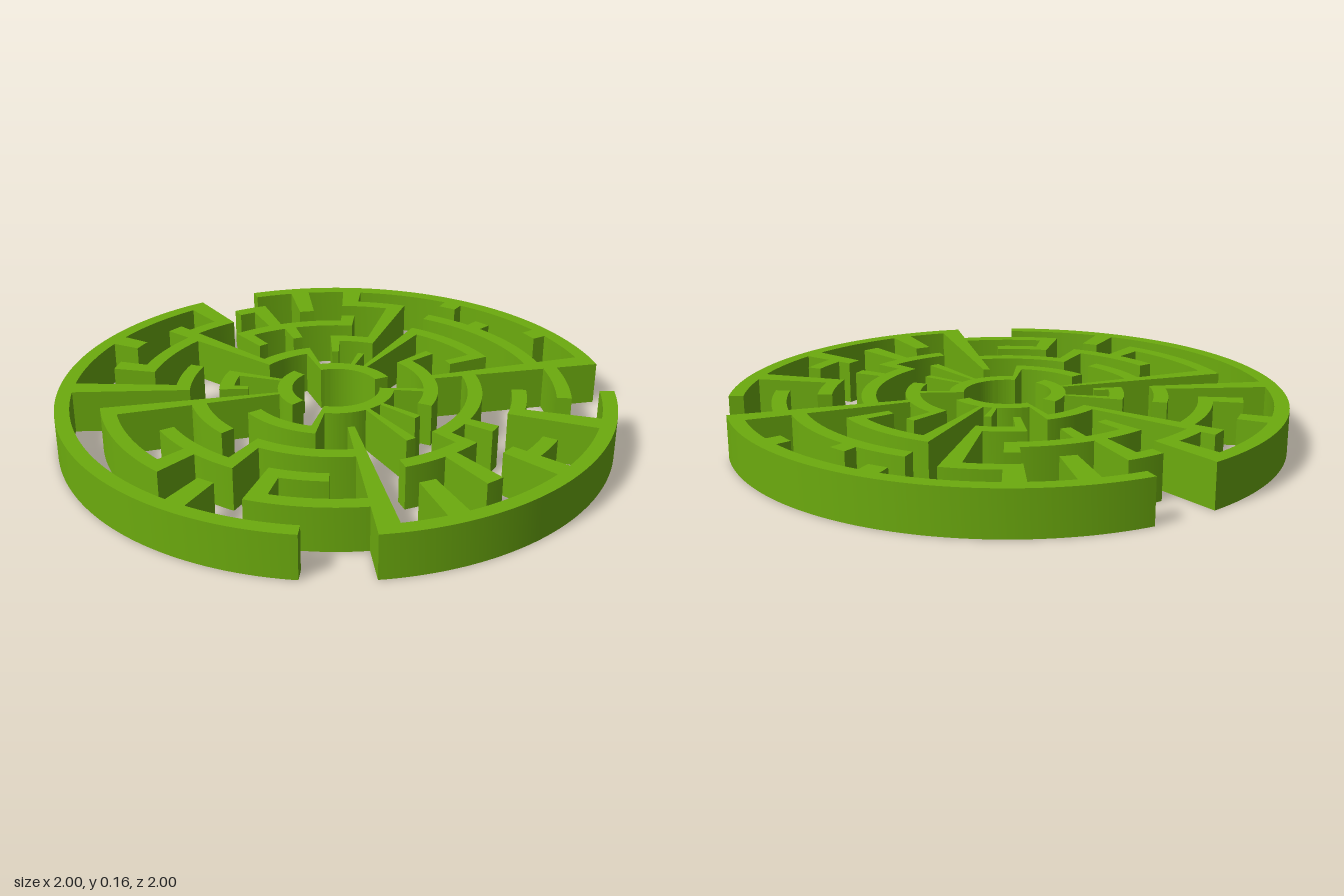
import * as THREE from 'three';
import { toCreasedNormals } from 'three/addons/utils/BufferGeometryUtils.js';

// Polar grid: 80 angular steps, radius counted in 19ths, angles run from +x towards -z
const STEP = Math.PI / 40;
const UNIT = 1 / 19;
const HEIGHT = 3 * UNIT;

// One wall: a ring sector between two radii and two angular steps
function sector(r0, r1, a0, a1) {
  const shape = new THREE.Shape();
  shape.absarc(0, 0, r1 * UNIT, a0 * STEP, a1 * STEP, false);
  shape.absarc(0, 0, r0 * UNIT, a1 * STEP, a0 * STEP, true);
  shape.closePath();
  const geo = new THREE.ExtrudeGeometry(shape, {
    depth: HEIGHT, bevelEnabled: false, curveSegments: Math.max(2, (a1 - a0) * 2),
  });
  geo.rotateX(-Math.PI / 2);
  return toCreasedNormals(geo, 0.5);
}

// Curved walls: inner radius (each is one unit thick) -> list of [start, end] steps
const rim = { 18: [[0, 22], [25, 56], [59, 77]] };
const hub = { 3: [[3, 22], [28, 47], [54, 77]] };
const arcs = {
  6: [[22, 29], [45, 55], [72, 87]],
  7: [[33, 38]],
  8: [[13, 18]],
  9: [[40, 47], [50, 60], [67, 80]],
  10: [[33, 38]],
  11: [[3, 11], [16, 26], [62, 68]],
  12: [[44, 51], [53, 57], [73, 77]],
  13: [[29, 35]],
  14: [[0, 11], [25, 29]],
  15: [[13, 17], [22, 24], [40, 48], [53, 60], [68, 71], [76, 80]],
};

// Straight walls, one step wide: [step, inner radius, outer radius], by quarter
const spokes = [
  // back right
  [0, 6, 19], [3, 9, 12], [4, 17, 19], [6, 6, 9], [7, 14, 16], [10, 4, 12], [10, 17, 19],
  [13, 4, 6], [13, 8, 16], [16, 11, 13], [16, 15, 19], [17, 6, 9], [19, 14, 19],
  // back left
  [21, 4, 7], [21, 9, 12], [22, 11, 16], [25, 9, 12], [25, 14, 19], [28, 6, 16],
  [31, 16, 19], [33, 4, 8], [34, 13, 16], [37, 6, 8], [37, 10, 19],
  // front left
  [40, 4, 16], [47, 12, 16], [50, 9, 13], [50, 15, 19], [53, 12, 16], [54, 4, 7], [59, 6, 19],
  // front right
  [62, 14, 19], [64, 4, 9], [65, 11, 16], [67, 9, 12], [68, 4, 7], [68, 14, 19],
  [70, 9, 12], [73, 12, 19], [76, 4, 7],
];

export function createModel() {
  const model = new THREE.Group();
  model.name = 'circularMaze';
  const material = new THREE.MeshStandardMaterial({ color: 0x6cab0e });

  const addGroup = (groupName, partName, walls) => {
    const group = new THREE.Group();
    group.name = groupName;
    for (const [r0, r1, a0, a1] of walls) {
      const mesh = new THREE.Mesh(sector(r0, r1, a0, a1), material);
      mesh.name = partName;
      group.add(mesh);
    }
    model.add(group);
  };
  const curved = (table) => Object.entries(table).flatMap(
    ([r, spans]) => spans.map(([a, b]) => [+r, +r + 1, a, b]));

  addGroup('outerRim', 'rimWall', curved(rim));
  addGroup('innerHub', 'hubWall', curved(hub));
  addGroup('curvedWalls', 'curvedWall', curved(arcs));
  addGroup('radialWalls', 'radialWall', spokes.map(([a, r0, r1]) => [r0, r1, a, a + 1]));
  return model;
}
